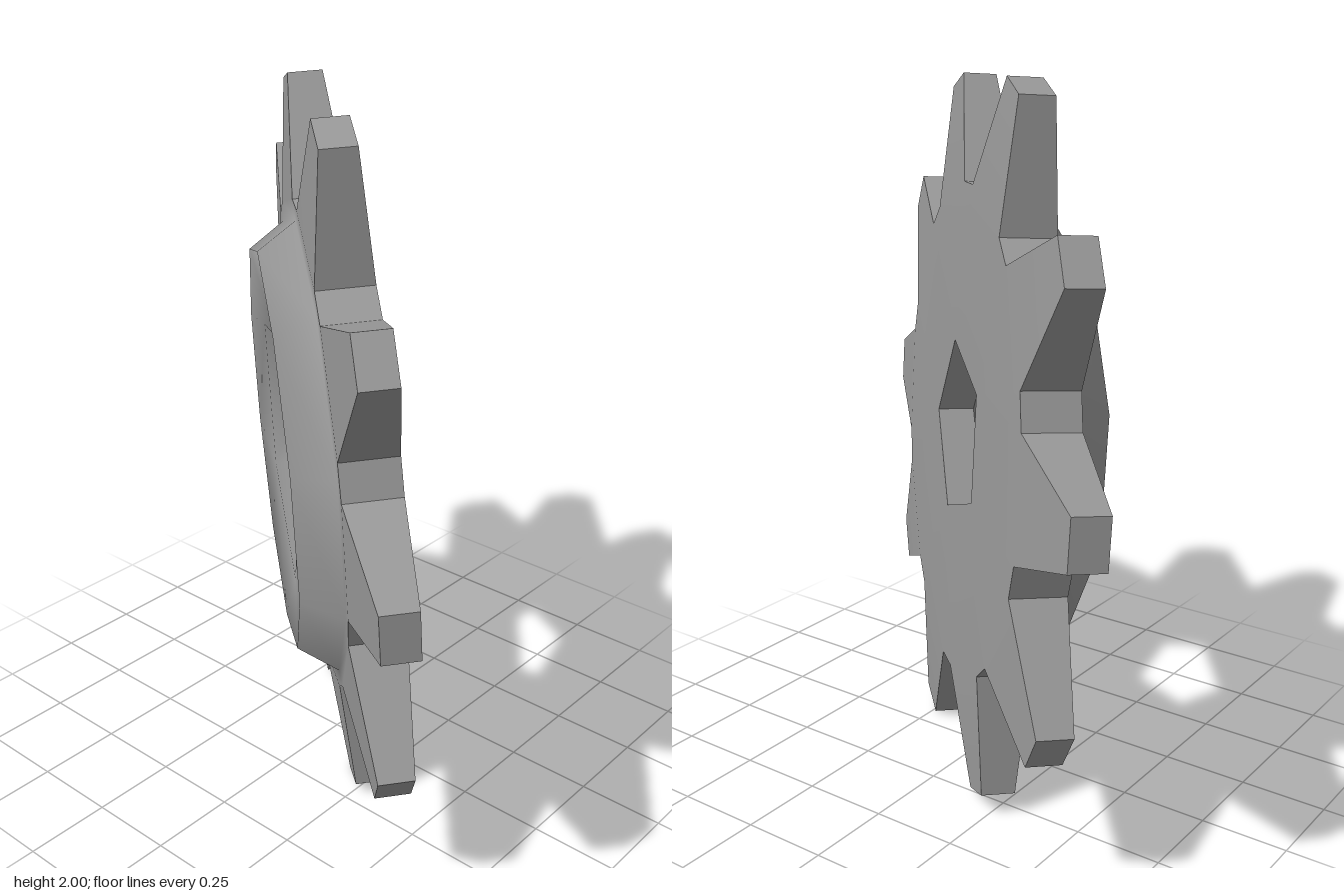
import * as THREE from 'three';

const TEETH = 10, STEP = (2 * Math.PI) / TEETH;
const HUB = 0.077, TIP = 0.048; // half thickness at the hub and at the tooth tips
const grey = new THREE.MeshStandardMaterial({ color: 0x999999 });

const positions = [];

// Adds a ring of points at height z and returns a lookup that wraps around
function ring(count, radius, offset, z) {
  const first = positions.length / 3;
  for (let i = 0; i < count; i++) {
    const a = (i * 2 * Math.PI) / count + offset;
    positions.push(radius * Math.cos(a), radius * Math.sin(a), z);
  }
  return (i) => first + ((i + count) % count);
}

// Both corners of every tooth at one distance: x along the tooth, y half its width
function toothRings(x, y, z) {
  const r = Math.hypot(x, y), a = Math.atan2(y, x);
  return [ring(TEETH, r, -a, z), ring(TEETH, r, a, z)];
}

function makeMesh(name, index, flat) {
  let geo = new THREE.BufferGeometry();
  geo.setAttribute('position', new THREE.Float32BufferAttribute(positions, 3));
  geo.setIndex(index);
  if (flat) geo = geo.toNonIndexed();
  geo.computeVertexNormals();
  const mesh = new THREE.Mesh(geo, grey);
  mesh.name = name;
  return mesh;
}

function makeGear() {
  positions.length = 0;
  const front = [], back = [], walls = [];
  const quad = (list, a, b, c, d) => list.push(a, b, c, a, c, d);

  // Front rings, from the teeth to the hole
  const [tipA, tipB] = toothRings(1.018, 0.067, TIP);
  const [rootA, rootB] = toothRings(0.68, 0.168, HUB);
  const foot = ring(10, 0.655, STEP / 2, HUB);
  const crest = ring(10, 0.58, STEP / 2, 0.185);
  const rim = ring(5, 0.40, 0, 0.16);
  const hole = ring(5, 0.26, 0, 0.03);
  // Back rings
  const [backTipA, backTipB] = toothRings(1.018, 0.067, -TIP);
  const [backRootA, backRootB] = toothRings(0.68, 0.168, -HUB);
  const backHole = ring(5, 0.26, 0, -HUB);

  for (let i = 0; i < TEETH; i++) {
    // Tooth faces, thinner toward the tip
    quad(front, rootA(i), tipA(i), tipB(i), rootB(i));
    quad(back, backRootB(i), backTipB(i), backTipA(i), backRootA(i));
    // Hub edge and outer slope of the collar
    quad(front, foot(i - 1), rootA(i), rootB(i), foot(i));
    front.push(foot(i), rootB(i), rootA(i + 1));
    quad(front, foot(i - 1), foot(i), crest(i), crest(i - 1));
    // Tooth sides, tip and valley floor
    quad(walls, backRootA(i), backTipA(i), tipA(i), rootA(i));
    quad(walls, backTipA(i), backTipB(i), tipB(i), tipA(i));
    quad(walls, backTipB(i), backRootB(i), rootB(i), tipB(i));
    quad(walls, backRootB(i), backRootA(i + 1), rootA(i + 1), rootB(i));
  }

  for (let k = 0; k < 5; k++) {
    const t = 2 * k;
    // Top of the collar and the dish sloping to the hole
    front.push(rim(k), crest(t - 1), crest(t));
    quad(front, rim(k), crest(t), crest(t + 1), rim(k + 1));
    quad(front, hole(k), rim(k), rim(k + 1), hole(k + 1));
    // Flat back of the hub
    back.push(backHole(k), backRootB(t), backRootA(t));
    back.push(backHole(k), backRootA(t + 1), backRootB(t));
    quad(back, backHole(k), backHole(k + 1), backRootB(t + 1), backRootA(t + 1));
    back.push(backHole(k + 1), backRootA(t + 2), backRootB(t + 1));
    // Hole walls
    quad(walls, hole(k), hole(k + 1), backHole(k + 1), backHole(k));
  }

  const gear = new THREE.Group();
  gear.name = 'gear';
  gear.add(
    makeMesh('frontFaceWithCollar', front, false),
    makeMesh('backFace', back, false),
    makeMesh('edgeWalls', walls, true),
  );
  return gear;
}

export function createModel() {
  const gear = makeGear();
  // Lean the gear: its axis points forward, to the side and slightly down
  const axis = new THREE.Vector3(-0.654, -0.058, 0.754).normalize();
  const up = axis.clone().cross(new THREE.Vector3(0.756, -0.034, 0.653)).normalize();
  const side = up.clone().cross(axis);
  gear.quaternion.setFromRotationMatrix(new THREE.Matrix4().makeBasis(side, up, axis));
  gear.position.y = 1;

  const model = new THREE.Group();
  model.name = 'tiltedGear';
  model.add(gear);
  return model;
}
